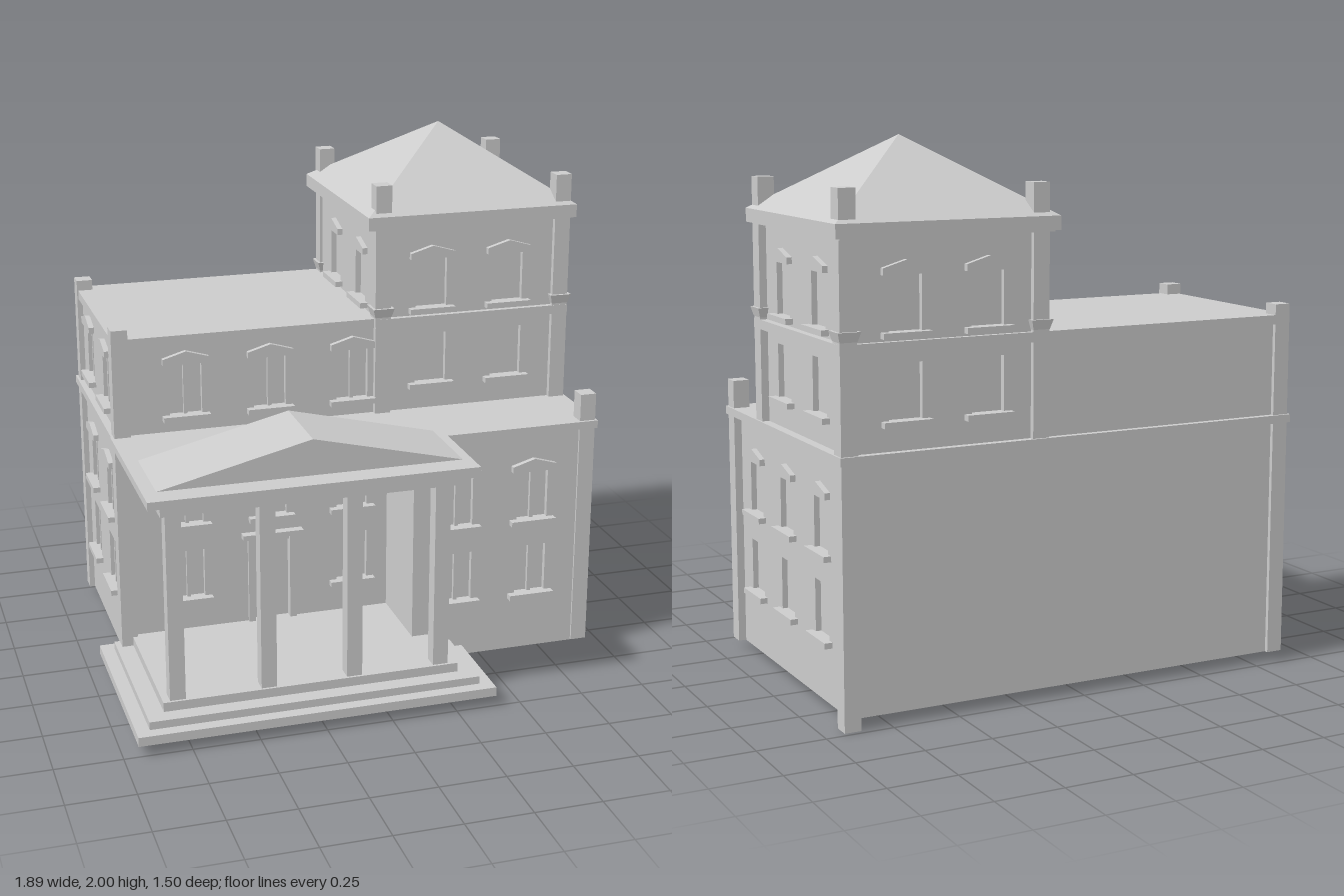
import * as THREE from 'three';

const mat = new THREE.MeshStandardMaterial({ color: 0xcccccc, flatShading: true });

function add(parent, name, geometry) {
  const mesh = new THREE.Mesh(geometry, mat);
  mesh.name = name;
  parent.add(mesh);
  return mesh;
}

// Box given by its two corners
function box(parent, name, x0, x1, y0, y1, z0, z1) {
  const g = new THREE.BoxGeometry(x1 - x0, y1 - y0, z1 - z0);
  g.translate((x0 + x1) / 2, (y0 + y1) / 2, (z0 + z1) / 2);
  return add(parent, name, g);
}

// Extruded outline from [x, y] points, running from z0 to z1
function prism(parent, name, points, z0, z1, holes = []) {
  const shape = new THREE.Shape(points.map(p => new THREE.Vector2(...p)));
  for (const h of holes) shape.holes.push(new THREE.Path(h.map(p => new THREE.Vector2(...p))));
  const g = new THREE.ExtrudeGeometry(shape, { depth: z1 - z0, bevelEnabled: false });
  return add(parent, name, g.translate(0, 0, z0));
}

const rect = (x0, x1, y0, y1) => [[x0, y0], [x1, y0], [x1, y1], [x0, y1]];

const HALF = 0.062;      // half width of a window opening
const THICK = 0.03;      // wall thickness
const ANGLE = { front: 0, right: Math.PI / 2, back: Math.PI, left: -Math.PI / 2 };

// Sill, pane, centre bar and gabled hood around one opening
function dressWindow(g, w, d) {
  const { u, y0, y1 } = w;
  box(g, 'windowPane', u - HALF, u + HALF, y0, y1, d - 0.026, d - 0.021);
  box(g, 'windowSill', u - 0.09, u + 0.09, y0 - 0.021, y0, d - 0.01, d + 0.029);
  if (w.bar) box(g, 'windowBar', u - 0.007, u + 0.007, y0, y1, d - 0.021, d - 0.006);
  if (w.hood) {
    prism(g, 'windowHood', [[u - 0.088, y1], [u + 0.088, y1], [u + 0.088, y1 + 0.024],
      [u, y1 + 0.05], [u - 0.088, y1 + 0.024]], d - 0.01, d + 0.02);
  }
}

// Wall panel facing one side: u runs to the viewer's right, d is the distance outward
function wall(parent, name, side, d, u0, u1, y0, y1, windows = [], door = null) {
  const g = new THREE.Group();
  g.name = name;
  g.rotation.y = ANGLE[side];
  const holes = windows.map(w => rect(w.u - HALF, w.u + HALF, w.y0, w.y1));
  if (door) holes.push(rect(door.u - 0.07, door.u + 0.07, door.y0, door.y1));
  prism(g, 'wallPanel', rect(u0, u1, y0, y1), d - THICK, d, holes);
  for (const w of windows) dressWindow(g, w, d);
  if (door) {
    box(g, 'doorLeaf', door.u - 0.07, door.u + 0.07, door.y0, door.y1, d - 0.026, d - 0.02);
    for (const s of [-1, 1]) {
      const c = door.u + s * 0.083;
      box(g, 'doorJamb', c - 0.013, c + 0.013, door.y0, door.y1 + 0.025, d - 0.01, d + 0.014);
    }
    box(g, 'doorLintel', door.u - 0.12, door.u + 0.12, door.y1 + 0.025, door.y1 + 0.045, d - 0.01, d + 0.035);
  }
  parent.add(g);
}

const row = (us, y0, y1, hood, bar = false) => us.map(u => ({ u, y0, y1, hood, bar }));
const ground = (us, bar) => row(us, 0.27, 0.465, false, bar);
const first = (us, bar) => row(us, 0.577, 0.775, true, bar);
const second = (us, bar) => row(us, 1.02, 1.22, true, bar);
const tower = us => [...row(us, 1.06, 1.255, false), ...row(us, 1.361, 1.553, true)];

// Square corner pier centred on x, z
function pier(parent, name, x, z, y0, y1, half = 0.031) {
  box(parent, name, x - half, x + half, y0, y1, z - half, z + half);
}

export function createModel() {
  const model = new THREE.Group();
  model.name = 'house';

  // Main block, open underneath
  const main = new THREE.Group();
  main.name = 'mainBlock';
  wall(main, 'mainFrontWall', 'front', 0.054, -0.85, 0.2, 0.045, 1.33, [
    ...ground([-0.6, 0.055], true), ...first([-0.6, -0.27, 0.055], true),
    ...second([-0.595, -0.27, 0.055], true)], { u: -0.27, y0: 0.14, y1: 0.467 });
  wall(main, 'mainLeftWall', 'left', 0.852, -0.715, 0.05, 0.04, 1.33,
    [...ground([-0.51, -0.18], true), ...first([-0.51, -0.18], true), ...second([-0.51, -0.18], true)]);
  wall(main, 'backWall', 'back', 0.716, -0.89, 0.852, 0.04, 0.95);
  wall(main, 'upperBackWall', 'back', 0.716, -0.2, 0.852, 0.95, 1.33);
  box(main, 'mainCornice', -0.882, 0.932, 0.925, 0.955, -0.74, 0.062);
  box(main, 'mainRoof', -0.868, 0.16, 1.295, 1.33, -0.73, 0.06);
  box(main, 'innerFloor', -0.83, 0.87, 0.47, 0.5, -0.69, 0.022);
  pier(main, 'cornerPier', -0.842, 0.043, 0.04, 1.37);
  pier(main, 'cornerPier', -0.842, -0.7, 0.04, 1.37);
  model.add(main);

  // Projecting side wing
  const wing = new THREE.Group();
  wing.name = 'sideWing';
  wall(wing, 'wingFrontWall', 'front', 0.376, 0.2, 0.9, 0.036, 0.95,
    [...ground([0.375, 0.68], true), ...first([0.375, 0.68], true)]);
  wall(wing, 'wingInnerWall', 'left', -0.2, 0.05, 0.376, 0.045, 0.95);
  const sideU = [-0.165, 0.145, 0.47];
  wall(wing, 'wingRightWall', 'right', 0.896, -0.376, 0.716, 0.04, 0.95, [...ground(sideU), ...first(sideU)]);
  box(wing, 'wingRoof', 0.19, 0.932, 0.925, 0.955, 0.05, 0.396);
  box(wing, 'innerFloor', 0.23, 0.87, 0.47, 0.5, 0.022, 0.35);
  pier(wing, 'wingPier', 0.894, 0.354, 0.04, 1.06);
  pier(wing, 'backPier', 0.894, -0.7, 0, 0.95);
  model.add(wing);

  // Tower
  const top = new THREE.Group();
  top.name = 'tower';
  wall(top, 'towerFrontWall', 'front', 0.056, 0.155, 0.89, 0.95, 1.69, tower([0.37, 0.68]));
  wall(top, 'towerBackWall', 'back', 0.712, -0.89, -0.155, 0.95, 1.69, tower([-0.68, -0.37]));
  wall(top, 'towerRightWall', 'right', 0.897, -0.056, 0.712, 0.95, 1.69, tower([0.15, 0.48]));
  wall(top, 'towerLeftWall', 'left', -0.152, -0.712, 0.056, 0.95, 1.69,
    row([-0.48, -0.15], 1.361, 1.553, true));
  box(top, 'towerBand', 0.142, 0.926, 1.295, 1.33, -0.731, 0.078);
  box(top, 'towerCornice', 0.125, 0.925, 1.675, 1.735, -0.74, 0.08);
  box(top, 'towerEaves', 0.107, 0.943, 1.68, 1.73, -0.75, 0.095);
  for (const x of [0.172, 0.894]) {
    for (const z of [0.046, -0.7]) {
      pier(top, 'towerPier', x, z, 0.95, 1.845);
      const cap = new THREE.CylinderGeometry(0.042 * Math.SQRT2, 0.032 * Math.SQRT2, 0.035, 4);
      cap.rotateY(Math.PI / 4).translate(x, 1.355, z);
      add(top, 'pierCapital', cap);
    }
  }
  const roof = new THREE.ConeGeometry(Math.SQRT1_2, 0.27, 4, 1);
  roof.rotateY(Math.PI / 4).scale(0.836, 1, 0.843).translate(0.525, 1.865, -0.327);
  add(top, 'towerRoof', roof);
  model.add(top);

  // Porch with steps, columns and a low gable
  const porch = new THREE.Group();
  porch.name = 'porch';
  box(porch, 'bottomStep', -0.945, 0.405, 0.04, 0.075, -0.025, 0.75);
  box(porch, 'middleStep', -0.895, 0.355, 0.075, 0.105, 0.02, 0.703);
  box(porch, 'porchFloor', -0.83, 0.29, 0.105, 0.14, 0.02, 0.64);
  for (const x of [-0.775, -0.435, -0.11, 0.225]) {
    box(porch, 'porchColumn', x - 0.029, x + 0.029, 0.14, 0.885, 0.572, 0.63);
  }
  box(porch, 'porchFrieze', -0.835, 0.292, 0.88, 0.925, 0.05, 0.705);
  box(porch, 'porchRoof', -0.885, 0.324, 0.925, 0.955, 0.05, 0.742);
  prism(porch, 'porchGable', [[-0.855, 0.95], [0.31, 0.95], [-0.272, 1.09]], 0.325, 0.65);
  model.add(porch);

  return model;
}
